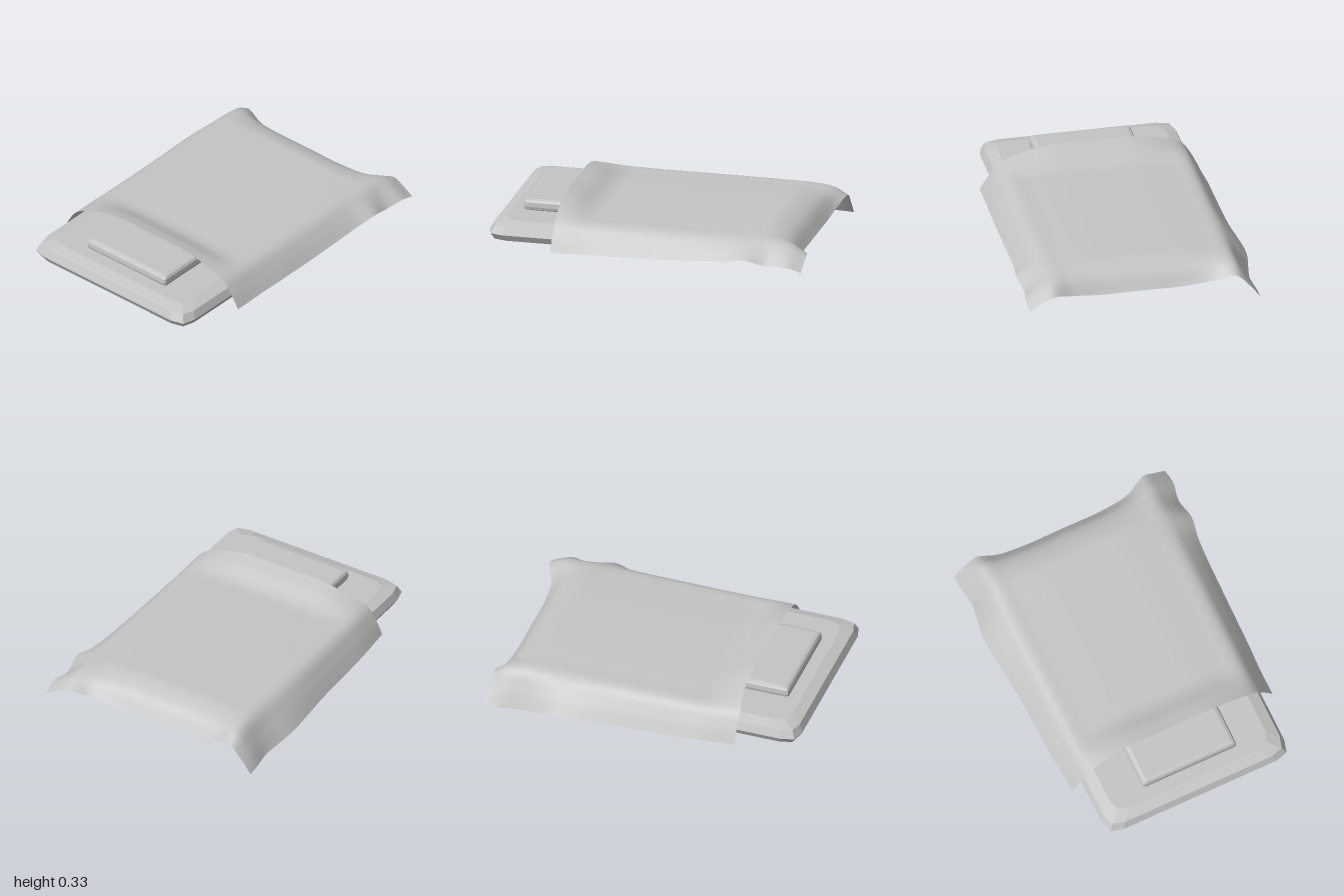
import * as THREE from 'three';

// One grey for mattress, pillow and blanket (the blanket is an open sheet)
const cloth = new THREE.MeshStandardMaterial({ color: 0xc4c4c4, side: THREE.DoubleSide });
cloth.name = 'grey cloth';

// Closed slab: bevelled rectangles stacked by [inset, y]
function slab(name, hx, hz, corner, levels) {
  const pos = [], idx = [], n = 12;
  for (const [inset, y] of levels) {
    const w = hx - inset, d = hz - inset;
    const c = [[w, d - corner], [w - corner * 0.22, d - corner * 0.22], [w - corner, d]];
    for (const [sx, sz] of [[1, 1], [-1, 1], [-1, -1], [1, -1]]) {
      const pts = sx * sz > 0 ? c : [...c].reverse();
      for (const [x, z] of pts) pos.push(sx * x, y, sz * z);
    }
  }
  const top = levels.length - 1;
  for (let r = 0; r < top; r++) {
    for (let i = 0; i < n; i++) {
      const a = r * n + i, b = r * n + (i + 1) % n;
      idx.push(a, a + n, b, b, a + n, b + n);
    }
  }
  // Bottom and top caps
  const centre = pos.length / 3;
  pos.push(0, levels[0][1], 0, 0, levels[top][1], 0);
  for (let i = 0; i < n; i++) {
    const j = (i + 1) % n;
    idx.push(centre, i, j, centre + 1, top * n + j, top * n + i);
  }
  const indexed = new THREE.BufferGeometry();
  indexed.setAttribute('position', new THREE.Float32BufferAttribute(pos, 3));
  indexed.setIndex(idx);
  const geo = indexed.toNonIndexed();
  geo.computeVertexNormals();
  const mesh = new THREE.Mesh(geo, cloth);
  mesh.name = name;
  return mesh;
}

// Cross-sections front to back:
// [zRight, zCentre, zLeft, right hem x, y, left hem x, y, shoulder y, crown y]
const SECTIONS = [
  [0.62, 0.59, 0.58, -0.675, 0.07, 0.69, 0.08, 0.24, 0.33],
  [0.53, 0.51, 0.5, -0.68, 0.067, 0.69, 0.08, 0.24, 0.305],
  [0.4, 0.39, 0.38, -0.69, 0.064, 0.69, 0.083, 0.235, 0.255],
  [0.25, 0.25, 0.25, -0.695, 0.058, 0.695, 0.087, 0.232, 0.25],
  [-0.1, -0.1, -0.1, -0.705, 0.052, 0.7, 0.095, 0.232, 0.25],
  [-0.5, -0.5, -0.5, -0.735, 0.05, 0.71, 0.12, 0.232, 0.25],
  [-0.64, -0.63, -0.64, -0.715, 0.03, 0.73, 0.142, 0.23, 0.25],
  [-0.75, -0.74, -0.78, -0.7, 0.018, 0.71, 0.11, 0.228, 0.245],
  [-0.88, -0.85, -0.9, -0.715, 0.01, 0.728, 0.12, 0.212, 0.2],
  [-0.965, -0.925, -1.0, -0.72, 0.005, 0.72, 0.09, 0.165, 0.11],
];

// Blanket draped over the mattress: smooth loft through the cross-sections
function blanket() {
  const V = (x, y, z) => new THREE.Vector3(x, y, z);
  const lerp = THREE.MathUtils.lerp;
  const across = 48, along = 60;
  const curves = SECTIONS.map(([zR, zC, zL, xR, yR, xL, yL, sh, crown]) => {
    const side = (s, hx, hy, z) => [
      V(hx, hy, z),
      V(lerp(hx, s * 0.57, 0.5) + s * 0.005, lerp(hy, sh, 0.55), z),
      V(s * 0.57, sh, z),
      V(s * 0.44, lerp(sh, crown, 0.6), lerp(zC, z, 0.25)),
      V(s * 0.26, crown, zC),
    ];
    const right = side(-1, xR, yR, zR), left = side(1, xL, yL, zL).reverse();
    return new THREE.CatmullRomCurve3([...right, V(0, crown, zC), ...left]);
  });
  const pos = [], idx = [], columns = [];
  for (let c = 0; c <= across; c++) {
    columns.push(new THREE.CatmullRomCurve3(curves.map((k) => k.getPoint(c / across))));
  }
  for (let r = 0; r <= along; r++) {
    for (const column of columns) pos.push(...column.getPoint(r / along).toArray());
  }
  for (let r = 0; r < along; r++) {
    for (let c = 0; c < across; c++) {
      const a = r * (across + 1) + c, d = a + across + 1;
      idx.push(a, a + 1, d, a + 1, d + 1, d);
    }
  }
  const geo = new THREE.BufferGeometry();
  geo.setAttribute('position', new THREE.Float32BufferAttribute(pos, 3));
  geo.setIndex(idx);
  geo.computeVertexNormals();
  const mesh = new THREE.Mesh(geo, cloth);
  mesh.name = 'blanket';
  return mesh;
}

export function createModel() {
  const group = new THREE.Group();
  group.name = 'bedding';

  const mattress = slab('mattress', 0.615, 0.92, 0.1,
    [[0.09, 0.08], [0.022, 0.1], [0, 0.14], [0.022, 0.188], [0.09, 0.21]]);
  mattress.position.set(0.003, 0, 0.08);

  const pillow = slab('pillow', 0.316, 0.2, 0.02,
    [[0.022, 0.209], [0.004, 0.218], [0, 0.235], [0.003, 0.262], [0.012, 0.275], [0.03, 0.281]]);
  pillow.position.set(0.013, 0, 0.64);

  group.add(mattress, pillow, blanket());
  return group;
}
